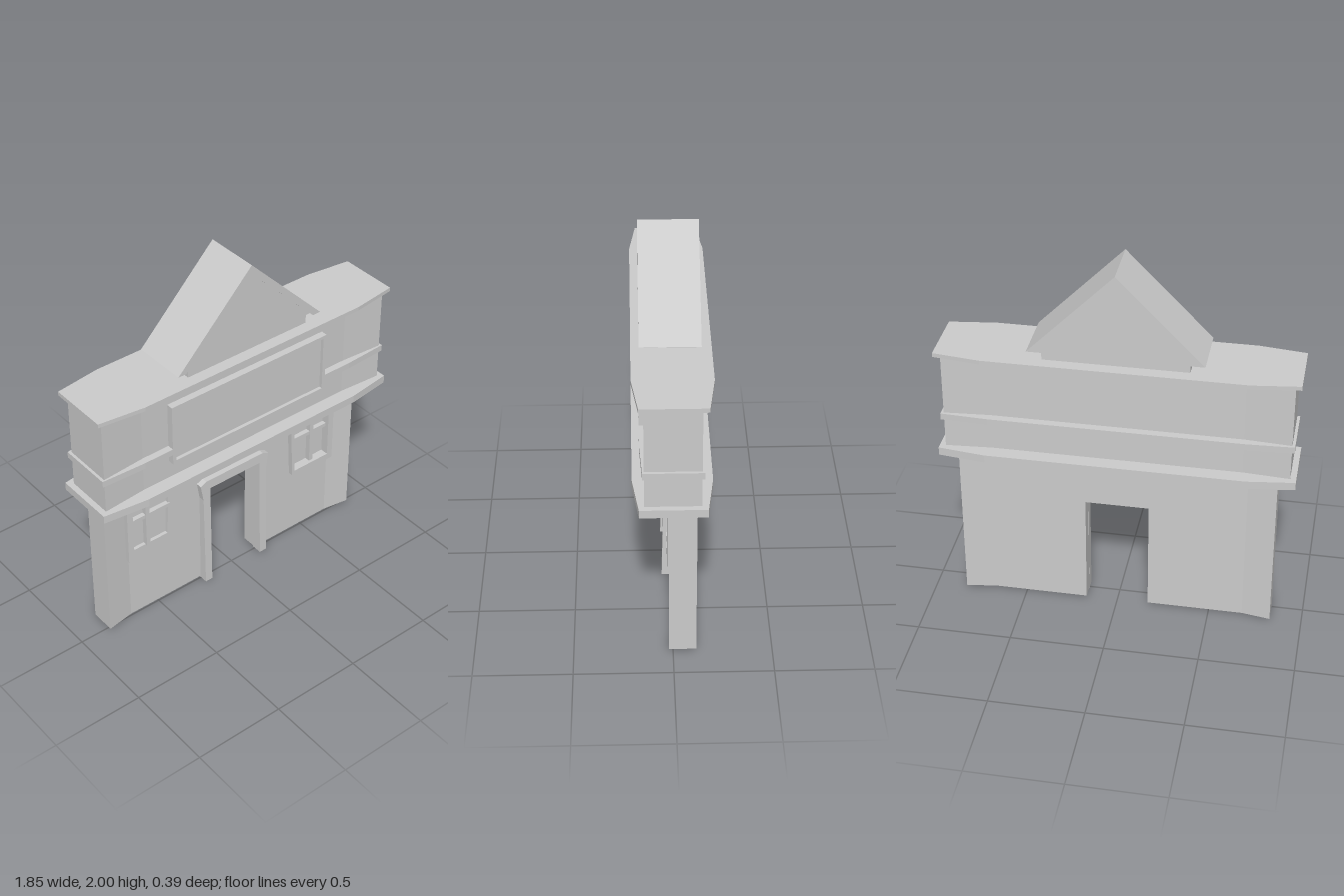
import * as THREE from 'three';

const material = new THREE.MeshStandardMaterial({ color: 0xcccccc, flatShading: true });

export function createModel() {
  const model = new THREE.Group();

  function add(name, geometry) {
    const mesh = new THREE.Mesh(geometry, material);
    mesh.name = name;
    model.add(mesh);
  }
  const vecs = (pts) => pts.map(([x, y]) => new THREE.Vector2(x, y));
  const rect = (x0, y0, x1, y1) => [[x0, y0], [x1, y0], [x1, y1], [x0, y1]];
  const mirror = (pts, s) => pts.map(([x, y]) => [x * s, y]);

  // Outline in x/y, extruded from z0 to z1
  function slab(name, pts, holes, z0, z1) {
    const shape = new THREE.Shape(vecs(pts));
    holes.forEach((h) => shape.holes.push(new THREE.Path(vecs(h))));
    const g = new THREE.ExtrudeGeometry(shape, { depth: z1 - z0, bevelEnabled: false });
    g.translate(0, 0, z0);
    add(name, g);
    return g;
  }

  // Floor plan in x/z, extruded from y0 to y1
  function storey(name, plan, y0, y1) {
    const shape = new THREE.Shape(vecs(plan.map(([x, z]) => [x, -z])));
    const g = new THREE.ExtrudeGeometry(shape, { depth: y1 - y0, bevelEnabled: false });
    g.rotateX(-Math.PI / 2);
    g.translate(0, y0, 0);
    add(name, g);
  }

  // Tier whose ends taper (or flare, if negative); notch opens the front middle
  function tier(name, halfX, front, back, taper, y0, y1, notch = 0) {
    const bend = halfX * 0.73;
    const plan = [[-halfX, back + taper], [-bend, back], [bend, back], [halfX, back + taper],
      [halfX, front - taper], [bend, front]];
    if (notch) plan.push([notch, front], [notch, 0.1], [-notch, 0.1], [-notch, front]);
    plan.push([-bend, front], [-halfX, front - taper]);
    storey(name, plan, y0, y1);
  }

  // Ground floor wall: thin middle in two layers with window recesses
  const wall = [[-0.68, 0.008], [-0.168, 0.008], [-0.168, 0.632], [0.168, 0.632], [0.168, 0.008],
    [0.68, 0.008], [0.68, 0.9], [-0.68, 0.9]];
  const opening = [[0.425, 0.44], [0.66, 0.44], [0.66, 0.79], [0.412, 0.79]];
  slab('wallBack', wall, [], -0.092, -0.022);
  slab('wallFront', wall, [opening, mirror(opening, -1)], -0.022, -0.003);

  const frame = [[0.408, 0.415], [0.425, 0.402], [0.695, 0.402], [0.695, 0.812], [0.388, 0.812]];
  const wallEnd = [[0.68, -0.003], [0.832, 0.021], [0.832, -0.117], [0.68, -0.092]];
  for (const s of [1, -1]) {
    const side = s > 0 ? 'left' : 'right';
    // Flaring wall end
    storey(side + 'WallEnd', mirror(wallEnd, s), 0.008, 0.9);
    // Window
    slab(side + 'WindowFrame', mirror(frame, s), [mirror(opening, s)], -0.02, 0.025);
    slab(side + 'WindowMullion', mirror(rect(0.543, 0.435, 0.567, 0.795), s), [], -0.024, 0.008);
    slab(side + 'WindowCrossbar', mirror(rect(0.41, 0.622, 0.665, 0.644), s), [], -0.024, 0.004);
  }

  // Door surround, leaning forward a little towards the ground
  const half = [[0.168, 0], [0.212, 0], [0.212, 0.57], [0.228, 0.668], [0.19, 0.685]];
  const surround = [...half, ...mirror(half, -1).reverse(), [-0.166, 0.63], [0.166, 0.63]];
  const door = slab('doorSurround', surround, [], -0.015, 0.03);
  const pos = door.attributes.position;
  for (let i = 0; i < pos.count; i++) {
    if (pos.getZ(i) > 0.02) pos.setZ(i, 0.03 + 0.014 * (1 - pos.getY(i) / 0.685));
  }
  door.computeVertexNormals();

  // Upper storey with its ledges
  tier('lowerCornice', 0.924, 0.197, -0.197, 0.032, 0.892, 0.936);
  tier('upperWall', 0.893, 0.123, -0.118, -0.017, 0.93, 1.485);
  tier('bandMoulding', 0.908, 0.16, -0.16, 0.012, 1.1, 1.135, 0.485);
  tier('topCornice', 0.924, 0.195, -0.197, 0.032, 1.478, 1.5);

  // Blank sign board
  slab('signFrame', rect(-0.495, 1.04, 0.495, 1.388), [rect(-0.475, 1.058, 0.475, 1.37)], 0.1, 0.16);
  slab('signPanel', rect(-0.48, 1.05, 0.48, 1.38), [], 0.1, 0.142);

  // Gable: base, solid triangle and raised roof edge
  slab('gableBase', rect(-0.373, 1.495, 0.373, 1.56), [], -0.13, 0.132);
  slab('gable', [[-0.448, 1.546], [0.448, 1.546], [0, 2]], [], -0.145, 0.132);
  slab('roofEdge', [[-0.448, 1.546], [-0.4, 1.546], [0, 1.952], [0.4, 1.546], [0.448, 1.546], [0, 2]],
    [], 0.132, 0.155);

  return model;
}
